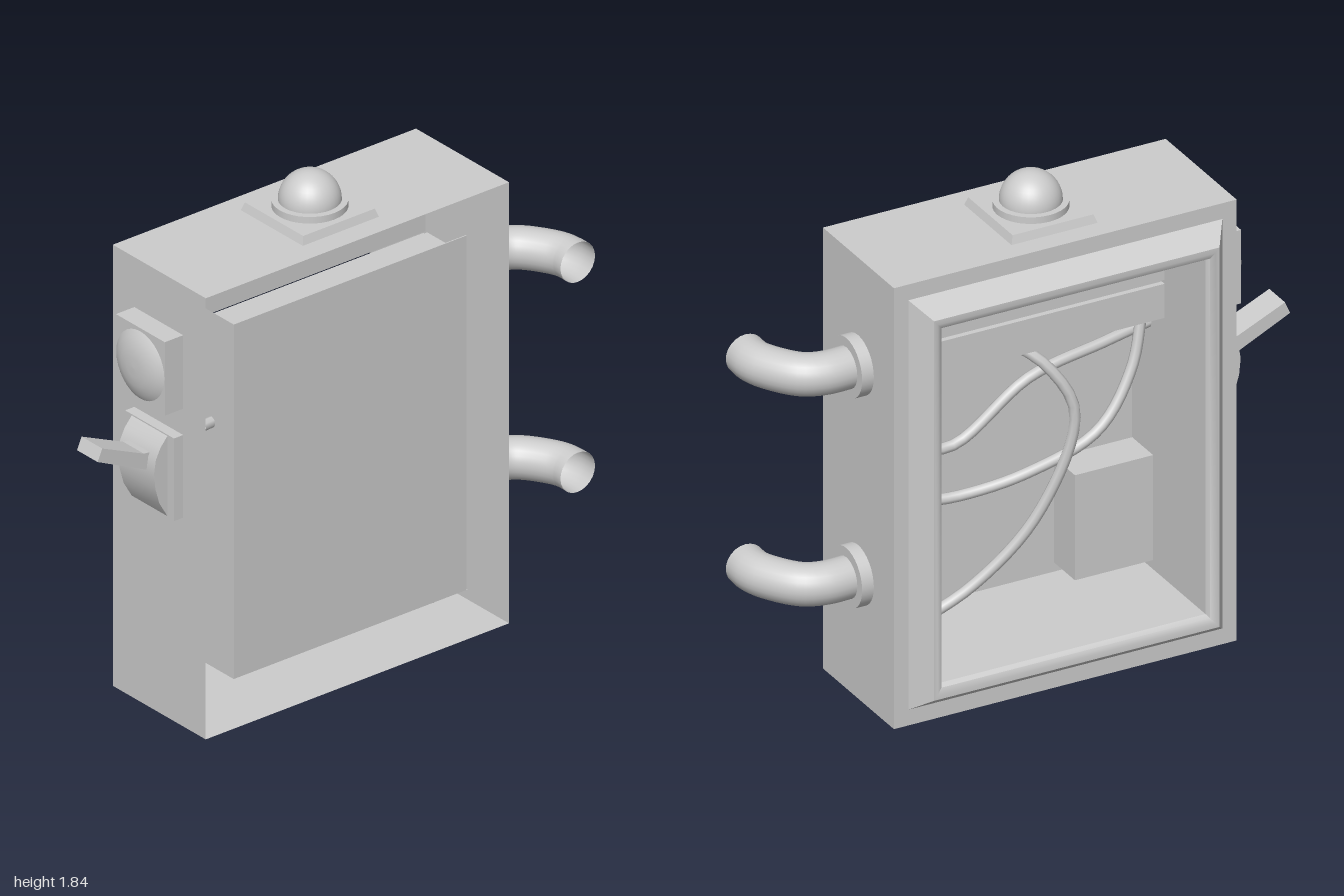
import * as THREE from 'three';
import { toCreasedNormals } from 'three/addons/utils/BufferGeometryUtils.js';

const grey = new THREE.MeshStandardMaterial({ color: 0xcccccc, side: THREE.DoubleSide });

// Outer rectangle of the case
const X0 = -0.69, X1 = 0.625, Y0 = 0, Y1 = 1.68, FRONT = 0.285, BACK = -0.21;
// Cavity
const CX0 = -0.54, CX1 = 0.47, CY0 = 0.165, CY1 = 1.515, PANEL = 0.25, STEP = 0.02;

function add(parent, name, geometry, x = 0, y = 0, z = 0) {
  const mesh = new THREE.Mesh(geometry, grey);
  mesh.name = name;
  mesh.position.set(x, y, z);
  parent.add(mesh);
  return mesh;
}

// Box given by its limits
function block(parent, name, [x0, x1], [y0, y1], [z0, z1]) {
  return add(parent, name, new THREE.BoxGeometry(x1 - x0, y1 - y0, z1 - z0),
    (x0 + x1) / 2, (y0 + y1) / 2, (z0 + z1) / 2);
}

// Rectangular ring of the case, inset from the outline
const ring = (ix, iy, z) => [
  [X0 + ix, Y0 + iy, z], [X1 - ix, Y0 + iy, z], [X1 - ix, Y1 - iy, z], [X0 + ix, Y1 - iy, z]];

// Joins successive rings; sides are 0 bottom, 1 right, 2 top, 3 left
function loft(rings, sides = [0, 1, 2, 3]) {
  const pos = [];
  for (let r = 0; r + 1 < rings.length; r++) {
    for (const i of sides) {
      const j = (i + 1) % 4, a = rings[r], b = rings[r + 1];
      pos.push(...a[i], ...b[i], ...a[j], ...a[j], ...b[i], ...b[j]);
    }
  }
  const g = new THREE.BufferGeometry();
  g.setAttribute('position', new THREE.Float32BufferAttribute(pos, 3));
  return toCreasedNormals(g, 0.75);
}

function tube(parent, name, points, radius, segments, sides) {
  const curve = new THREE.CatmullRomCurve3(points.map(p => new THREE.Vector3(...p)), false, 'centripetal');
  return add(parent, name, new THREE.TubeGeometry(curve, segments, radius, sides));
}

function buildCase(model) {
  const g = new THREE.Group();
  g.name = 'case';
  model.add(g);
  add(g, 'outerWalls', loft([ring(0, 0, FRONT), ring(0, 0, BACK)], [0, 1, 2]));

  // Side wall with openings behind the two controls
  const wall = new THREE.Shape();
  wall.moveTo(BACK, Y0).lineTo(FRONT, Y0).lineTo(FRONT, Y1).lineTo(BACK, Y1).closePath();
  for (const [a, b] of [[0.81, 1.1], [1.22, 1.48]]) {
    const hole = new THREE.Path();
    hole.moveTo(-0.085, a).lineTo(-0.085, b).lineTo(0.155, b).lineTo(0.155, a).closePath();
    wall.holes.push(hole);
  }
  add(g, 'controlWall', new THREE.ShapeGeometry(wall).rotateY(-Math.PI / 2), X0);

  // Raised rim around the opening
  add(g, 'rim', loft([ring(0, 0, BACK), ring(0.055, 0.06, BACK), ring(0.11, 0.117, -0.29),
    ring(0.125, 0.135, -0.29), ring(0.142, 0.155, -0.282), ring(0.15, 0.165, -0.265)]));

  // Cavity with a shortened ceiling
  const mouth = ring(0.15, 0.165, -0.265);
  add(g, 'cavityWalls', loft([mouth, ring(0.15, 0.165, PANEL)], [0, 1, 3]));
  add(g, 'cavityCeiling', loft([mouth, ring(0.15, 0.165, STEP)], [2]));
  block(g, 'panel', [CX0, CX1], [CY0, CY1], [PANEL - 0.004, PANEL]);
}

function buildInterior(model) {
  const g = new THREE.Group();
  g.name = 'interior';
  model.add(g);
  // Stacked bars across the top
  block(g, 'topBar', [CX0, CX1], [1.44, CY1], [STEP, STEP + 0.01]);
  block(g, 'middleBar', [CX0, CX1], [1.305, 1.43], [STEP, PANEL]);
  block(g, 'lowerBar', [CX0, CX1], [1.16, 1.29], [STEP, PANEL]);
  block(g, 'barBacking', [CX0, CX1], [1.17, 1.44], [STEP + 0.02, PANEL]);
  // Connector boxes
  block(g, 'connector', [0.3, 0.41], [0.53, 0.7], [0.06, PANEL]);
  block(g, 'connectorCap', [0.33, 0.41], [0.7, 0.73], [0.1, PANEL]);
  block(g, 'relayBox', [CX0, -0.24], [0.2, 0.6], [0.1, PANEL]);
  // Loose cables
  const cables = [
    [[0.51, 0.91, 0.13], [0.4, 0.86, 0.11], [0.23, 0.835, 0.1], [-0.05, 1.03, 0.08], [-0.35, 1.08, 0.1], [-0.59, 1.1, 0.14]],
    [[0.02, 1.18, 0.12], [-0.1, 1.08, 0.04], [-0.185, 0.9, 0], [-0.07, 0.52, 0.05], [0.14, 0.27, 0.12], [0.39, 0.13, 0.17]],
    [[0.32, 0.63, 0.13], [0.2, 0.63, 0.11], [-0.03, 0.68, 0.06], [-0.3, 0.78, 0.05], [-0.44, 0.97, 0.07], [-0.5, 1.18, 0.1]]];
  for (const path of cables) tube(g, 'cable', path, 0.02, 28, 8);
}

function buildLamp(model) {
  const g = new THREE.Group();
  g.name = 'lamp';
  g.position.set(-0.035, Y1, 0.035);
  model.add(g);
  const base = new THREE.CylinderGeometry(0.155 * Math.SQRT2, 0.165 * Math.SQRT2, 0.03, 4)
    .rotateY(Math.PI / 4);
  add(g, 'lampBase', toCreasedNormals(base, 0.5), 0, 0.015);
  add(g, 'lampCollar', new THREE.CylinderGeometry(0.13, 0.13, 0.025, 32), 0, 0.0425);
  add(g, 'lampDome', new THREE.SphereGeometry(0.108, 32, 12, 0, Math.PI * 2, 0, Math.PI / 2), 0, 0.056);
}

function buildPipes(model) {
  for (const y of [0.475, 1.275]) {
    const g = new THREE.Group();
    g.name = 'conduit';
    g.position.y = y;
    model.add(g);
    add(g, 'conduitFlange', new THREE.CylinderGeometry(0.11, 0.11, 0.045, 32).rotateZ(Math.PI / 2),
      X1 + 0.0225, 0, 0.04);
    tube(g, 'conduitPipe', [[0.63, 0, 0.04], [0.76, 0, 0.04], [0.83, 0, 0.07],
      [0.905, 0, 0.175], [0.923, 0, 0.23], [0.923, 0, FRONT]], 0.075, 24, 24);
  }
}

// Mounting plate left open towards the wall
function plate(parent, name, y, depth) {
  const mesh = block(parent, name, [X0 - depth, X0], y, [-0.095, 0.165]);
  const kept = Array.from(mesh.geometry.index.array).slice(6);
  mesh.geometry.clearGroups();
  mesh.geometry.setIndex(kept);
}

function buildControls(model) {
  // Push button
  const button = new THREE.Group();
  button.name = 'pushButton';
  model.add(button);
  plate(button, 'buttonPlate', [1.21, 1.49], 0.08);
  const profile = [[0.128, 0], [0.105, 0.015], [0.07, 0.027], [0.035, 0.031], [0, 0.032]]
    .map(p => new THREE.Vector2(...p));
  add(button, 'buttonDome', new THREE.LatheGeometry(profile, 32).rotateZ(Math.PI / 2), -0.77, 1.35, 0.035);

  // Lever switch
  const lever = new THREE.Group();
  lever.name = 'leverSwitch';
  model.add(lever);
  plate(lever, 'leverPlate', [0.795, 1.11], 0.04);
  const bulge = new THREE.Shape([[-0.73, 0.8], [-0.73, 1.105], [-0.76, 1.07], [-0.78, 1.03],
    [-0.788, 0.98], [-0.782, 0.92], [-0.765, 0.86]].map(p => new THREE.Vector2(...p)));
  const bulgeGeo = new THREE.ExtrudeGeometry(bulge, { depth: 0.19, bevelEnabled: false });
  add(lever, 'leverHousing', toCreasedNormals(bulgeGeo, 0.7), 0, 0, -0.06);
  const arm = new THREE.Shape([[-0.76, 0.97], [-0.76, 1.04], [-0.8, 1.045], [-0.98, 1.125],
    [-1, 1.08], [-0.8, 0.985]].map(p => new THREE.Vector2(...p)));
  add(lever, 'leverArm', new THREE.ExtrudeGeometry(arm, { depth: 0.11, bevelEnabled: false }), 0, 0, -0.02);
}

export function createModel() {
  const model = new THREE.Group();
  model.name = 'electricalBox';
  buildCase(model);
  buildInterior(model);
  buildLamp(model);
  buildPipes(model);
  buildControls(model);
  return model;
}
